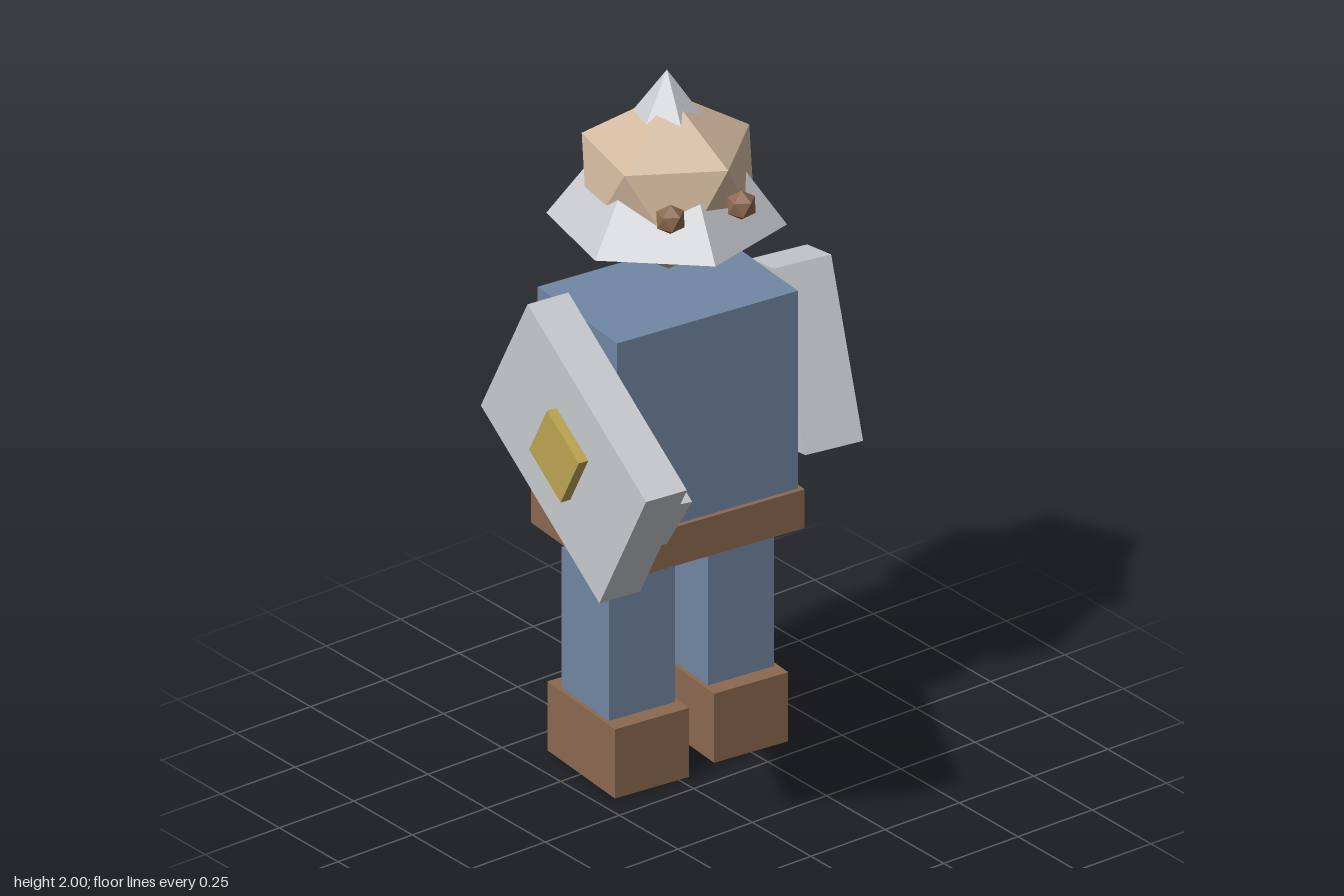
import * as THREE from 'three';

const flat = (name, color) => {
  const m = new THREE.MeshStandardMaterial({ color, flatShading: true });
  m.name = name;
  return m;
};

export function createModel() {
  const blue = flat('blue cloth', 0x7187a3);
  const brown = flat('brown leather', 0x8c6950);
  const skin = flat('skin', 0xd2b89e);
  const silver = flat('silver', 0xc8cbcf);
  const gold = flat('gold', 0xbda552);

  const model = new THREE.Group();
  const yaw = -0.1; // whole figure is turned slightly

  const add = (name, geometry, material, pos, parent = model) => {
    const mesh = new THREE.Mesh(geometry, material);
    mesh.name = name;
    mesh.position.set(...pos);
    parent.add(mesh);
    return mesh;
  };
  const box = (name, material, size, pos, parent) =>
    add(name, new THREE.BoxGeometry(...size), material, pos, parent);

  // Turns a part so its local x and y follow the given directions
  const orient = (mesh, xDir, yDir) => {
    const x = new THREE.Vector3(...xDir).normalize();
    const z = x.clone().cross(new THREE.Vector3(...yDir)).normalize();
    const y = z.clone().cross(x);
    mesh.quaternion.setFromRotationMatrix(new THREE.Matrix4().makeBasis(x, y, z));
    return mesh;
  };

  const cx = 0.1, cz = -0.237;

  // Torso and belt
  box('torso', blue, [0.567, 0.687, 0.39], [cx, 1.0135, cz]).rotation.y = yaw;
  box('belt', brown, [0.592, 0.115, 0.418], [cx, 0.7125, cz]).rotation.y = yaw;

  // Legs and boots
  for (const [side, s] of [['left', 1], ['right', -1]]) {
    const x = cx + s * 0.167;
    box(side + 'Leg', blue, [0.207, 0.42, 0.232], [x, 0.412, cz]).rotation.y = yaw;
    box(side + 'Boot', brown, [0.232, 0.205, 0.332], [x, 0.1025, cz]).rotation.y = yaw;
  }

  // Left arm hangs, right arm is raised behind the shield
  const armSize = [0.165, 0.512, 0.18];
  orient(box('leftArm', silver, armSize, [0.477, 1.102, -0.123]),
    [0.16, 0.01, 0.045], [0.018, 0.49, -0.15]);
  orient(box('rightArm', silver, armSize, [-0.316, 1.1125, 0.041]),
    [0.16, -0.02, 0.006], [0.05, 0.25, -0.447]);

  // Shield with a raised square boss on its outer face
  const shield = new THREE.Group();
  shield.name = 'shield';
  shield.position.set(-0.4825, 1.2225, 0.143);
  orient(shield, [0.127, 0, 0.013], [0.06, 0.335, -0.58]);
  model.add(shield);
  box('shieldPlate', silver, [0.128, 0.673, 0.461], [0, 0, 0], shield);
  box('shieldBoss', gold, [0.04, 0.18, 0.178], [-0.074, 0, 0], shield);

  // Faceted head standing on a vertex
  const ico = (r) => new THREE.IcosahedronGeometry(r, 0).rotateZ(0.5536);
  add('head', ico(0.262), skin, [0.105, 1.676, -0.24]).rotation.y = 0.384;

  // Six-sided pointed helmet that the head pokes through
  const helmet = add('helmet', new THREE.ConeGeometry(0.32, 0.437, 6).rotateY(-0.253),
    silver, [0.104, 1.782, -0.246]);
  helmet.rotation.set(-0.02, 0, -0.018);

  // Eyes
  for (const [name, x, z] of [['rightEye', -0.06, -0.023], ['leftEye', 0.139, 0.028]]) {
    add(name, ico(0.043), brown, [x, 1.7, z]).rotation.y = 0.384;
  }
  return model;
}
